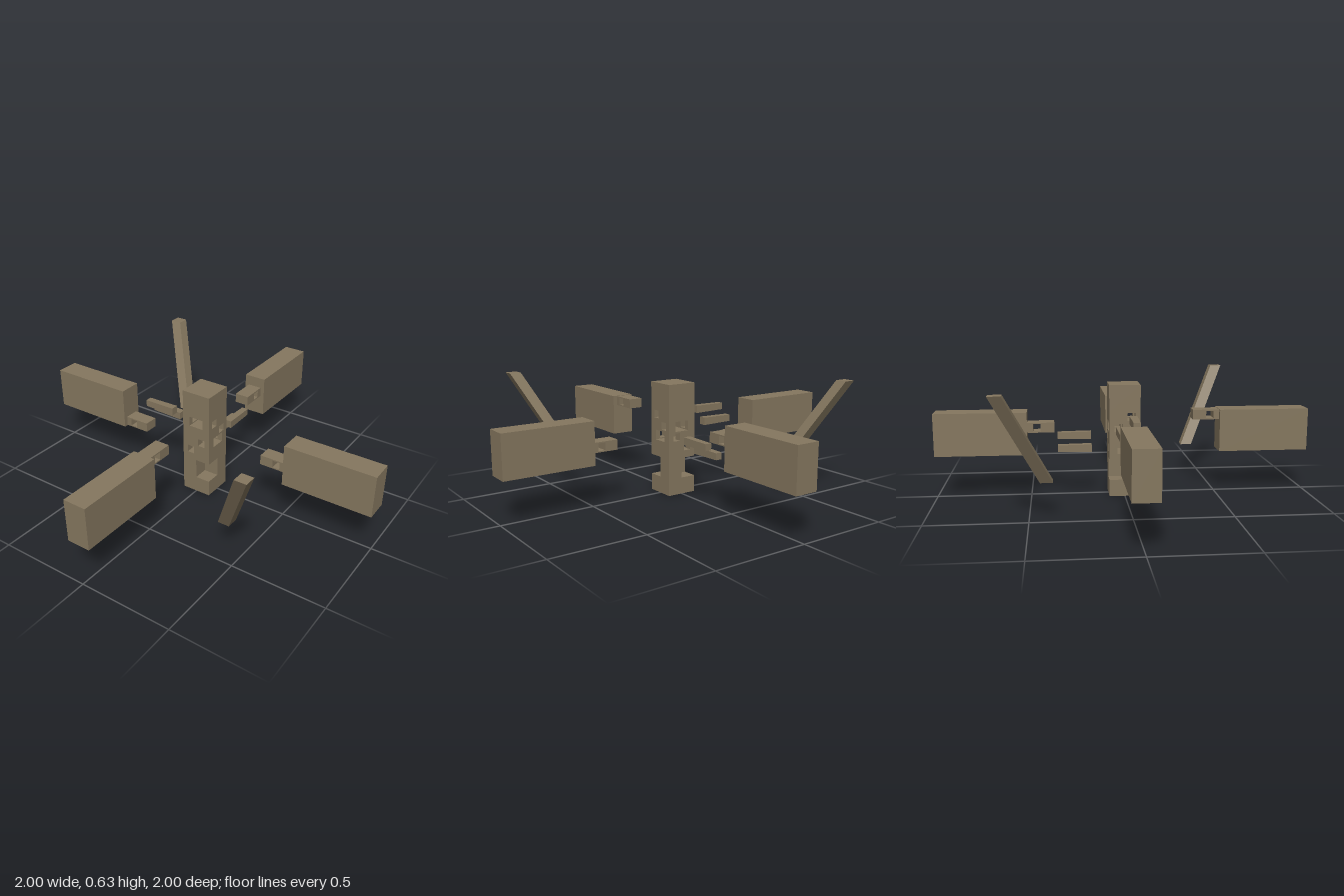
import * as THREE from 'three';

const HALF = 0.083;        // half the post width
const BASE = 0.231;        // underside of the beams
const PITCH = 0.0567;      // height of one tenon layer
const PEG = 0.034;         // peg distance from the post axis
const EXPLODE = 0.43;      // how far each beam is pulled out

export function createModel() {
  const model = new THREE.Group();
  const wood = new THREE.MeshStandardMaterial({ color: 0x85775f });

  const add = (parent, name, geometry) => {
    const mesh = new THREE.Mesh(geometry, wood);
    mesh.name = name;
    parent.add(mesh);
    return mesh;
  };
  // box given by its minimum and maximum corners
  const block = (parent, name, x0, x1, y0, y1, z0, z1) =>
    add(parent, name, new THREE.BoxGeometry(x1 - x0, y1 - y0, z1 - z0)
      .translate((x0 + x1) / 2, (y0 + y1) / 2, (z0 + z1) / 2));
  const rect = (Type, x0, x1, y0, y1) => new Type([
    new THREE.Vector2(x0, y0), new THREE.Vector2(x1, y0),
    new THREE.Vector2(x1, y1), new THREE.Vector2(x0, y1)]);

  // solid portions of the post, with two opposite corner notches
  const post = new THREE.Group();
  post.name = 'post';
  model.add(post);
  const top = BASE + 4 * PITCH;
  block(post, 'postFoot', -HALF, HALF, 0, 0.09, -HALF, HALF);
  block(post, 'postNeck', 0, HALF, 0.09, 0.2, -HALF, 0);
  block(post, 'postNeck', -HALF, 0, 0.09, 0.2, 0, HALF);
  block(post, 'postShaft', -HALF, HALF, 0.2, BASE, -HALF, HALF);
  block(post, 'postHead', -HALF, HALF, top, 0.6, -HALF, HALF);

  // one layer of the post: blind mortise from +z, crossed by a peg hole
  function mortiseLayer(y, angle) {
    const layer = new THREE.Group();
    layer.name = 'mortiseLayer';
    layer.rotation.y = angle;
    post.add(layer);
    const y1 = y + PITCH, floor = 0.0015, w = 0.041, back = -0.062;
    const mid = y + PITCH / 2, r = 0.021;
    block(layer, 'mortiseFloor', -HALF, HALF, y, y + floor, -HALF, HALF);
    block(layer, 'mortiseCeiling', -HALF, HALF, y1 - floor, y1, -HALF, HALF);
    block(layer, 'mortiseBack', -HALF, HALF, y + floor, y1 - floor, -HALF, back);
    // cheeks pierced by the peg hole
    const cheek = rect(THREE.Shape, back, HALF, y + floor, y1 - floor);
    cheek.holes.push(rect(THREE.Path, PEG - r, PEG + r, mid - r, mid + r));
    for (const x of [-w, HALF]) {
      add(layer, 'mortiseCheek',
        new THREE.ExtrudeGeometry(cheek, { depth: HALF - w, bevelEnabled: false })
          .rotateY(-Math.PI / 2).translate(x, 0, 0));
    }
  }

  // beam along +z with a pierced tenon
  function beam(y, angle) {
    const group = new THREE.Group();
    group.name = 'beam';
    group.rotation.y = angle;
    model.add(group);
    block(group, 'beamBody', -0.0625, 0.0625, BASE, top, 0.515, 1);
    const mid = y + PITCH / 2, c = PEG + EXPLODE, r = 0.02;
    const side = rect(THREE.Shape, 0.372, 0.515, mid - 0.0265, mid + 0.0265);
    side.holes.push(rect(THREE.Path, c - r, c + r, mid - r, mid + r));
    add(group, 'tenon',
      new THREE.ExtrudeGeometry(side, { depth: 0.08, bevelEnabled: false })
        .rotateY(-Math.PI / 2).translate(0.04, 0, 0));
  }

  // slightly tapered peg lying across the tenon
  function peg(y, angle, side) {
    const group = new THREE.Group();
    group.name = 'pegHolder';
    group.rotation.y = angle;
    model.add(group);
    const geo = new THREE.BoxGeometry(0.18, 0.04, 0.04);
    const p = geo.attributes.position;
    for (let i = 0; i < p.count; i++) {
      const k = p.getX(i) * side < 0 ? 1.03 : 0.9;
      p.setY(i, p.getY(i) * k);
      p.setZ(i, p.getZ(i) * k);
    }
    geo.computeVertexNormals();
    add(group, 'peg', geo).position.set(side * 0.265, y + PITCH / 2, PEG);
  }

  // layers from the lowest up: turn of the beam and side its peg enters from
  [[-Math.PI / 2, -1], [Math.PI / 2, 1], [Math.PI, 1], [0, -1]].forEach(([angle, side], i) => {
    const y = BASE + i * PITCH;
    mortiseLayer(y, angle);
    beam(y, angle);
    peg(y, angle, side);
  });

  // two diagonal braces, square in plan and leaning outwards
  for (const angle of [0, Math.PI]) {
    const geo = new THREE.BoxGeometry(0.063, 0.452, 0.063);
    const p = geo.attributes.position;
    for (let i = 0; i < p.count; i++) {
      const lean = p.getY(i) * 0.485;
      p.setX(i, p.getX(i) + lean);
      p.setZ(i, p.getZ(i) + lean);
    }
    geo.translate(0.523, 0.404, 0.523);
    geo.computeVertexNormals();
    add(model, 'brace', geo).rotation.y = angle;
  }

  return model;
}
